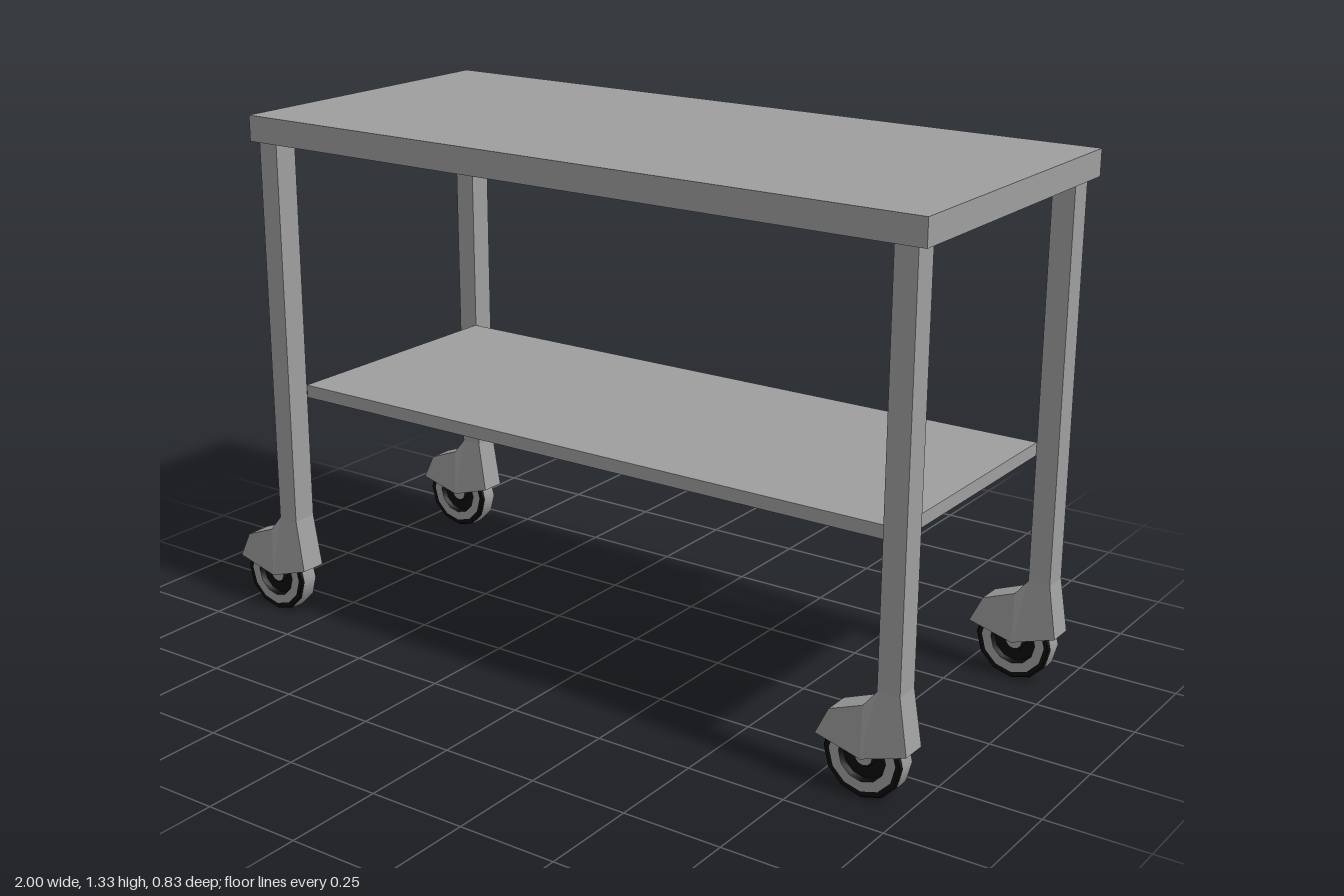
import * as THREE from 'three';
import { toCreasedNormals } from 'three/addons/utils/BufferGeometryUtils.js';

const solid = new THREE.MeshStandardMaterial({ color: 0x9f9f9f });
const sheet = new THREE.MeshStandardMaterial({ color: 0x9f9f9f, flatShading: true, side: THREE.DoubleSide });
const black = new THREE.MeshStandardMaterial({ color: 0x0c0c0c });

function add(parent, name, geometry, material, x = 0, y = 0, z = 0) {
  const mesh = new THREE.Mesh(geometry, material);
  mesh.name = name;
  mesh.position.set(x, y, z);
  parent.add(mesh);
  return mesh;
}

// Box given by its limits
function box(parent, name, [x0, x1], [y0, y1], [z0, z1]) {
  return add(parent, name, new THREE.BoxGeometry(x1 - x0, y1 - y0, z1 - z0), solid,
    (x0 + x1) / 2, (y0 + y1) / 2, (z0 + z1) / 2);
}

// Folded sheet fork, open underneath: [x, y, half width] measured from the leg axis
function forkGeometry() {
  const outline = [
    [-0.178, 0.13, 0.034], [-0.145, 0.197, 0.034], [-0.06, 0.23, 0.035],
    [-0.028, 0.27, 0.032], [0.028, 0.27, 0.032], [0.05, 0.135, 0.034],
  ];
  const low = [-0.062, 0.1, 0.036]; // lowest point of each cheek
  const at = ([x, y, w], side) => [x, y, w * side];
  const v = [];
  for (let i = 0; i < outline.length - 1; i++) {
    const a = outline[i], b = outline[i + 1];
    v.push(...at(a, 1), ...at(b, 1), ...at(b, -1), ...at(a, 1), ...at(b, -1), ...at(a, -1));
    v.push(...at(low, 1), ...at(b, 1), ...at(a, 1));
    v.push(...at(low, -1), ...at(a, -1), ...at(b, -1));
  }
  const g = new THREE.BufferGeometry();
  g.setAttribute('position', new THREE.Float32BufferAttribute(v, 3));
  g.computeVertexNormals();
  return g;
}

// Wheel bands as [radius, offset along the axle], from the axle outwards
const hubCap = [[0, 0.02], [0.022, 0.02]];
const recess = [[0.022, 0.02], [0.027, 0.012], [0.055, 0.012], [0.059, 0.026]];
const rim = [[0.059, 0.026], [0.083, 0.026]];
const shoulder = [[0.083, 0.026], [0.095, 0.026], [0.099, 0.021]];
const tread = [[0.099, 0.021], [0.1, 0.01], [0.1, -0.01], [0.099, -0.021]];

// Ring turned about the z axis; side -1 gives the mirrored ring
function ringGeometry(band, side) {
  const points = band.map(([r, h]) => new THREE.Vector2(r, h)).reverse();
  const g = new THREE.LatheGeometry(points.reverse(), 12);
  // Lathe profiles face outwards when they run upwards along the axis
  g.index.array.reverse();
  g.rotateX(Math.PI / 2);
  if (side < 0) g.rotateX(Math.PI);
  return toCreasedNormals(g, 0.75);
}

function wheel() {
  const group = new THREE.Group();
  group.name = 'casterWheel';
  for (const side of [1, -1]) {
    add(group, 'hubCap', ringGeometry(hubCap, side), solid);
    add(group, 'hubRecess', ringGeometry(recess, side), black);
    add(group, 'rim', ringGeometry(rim, side), solid);
    add(group, 'tyreShoulder', ringGeometry(shoulder, side), black);
  }
  add(group, 'tread', ringGeometry(tread, 1), solid);
  return group;
}

export function createModel() {
  const cart = new THREE.Group();
  cart.name = 'cart';

  box(cart, 'tableTop', [-0.87, 1.0], [1.26, 1.325], [-0.415, 0.415]);

  // Lower shelf: a tray turned upside down, so its bottom face is left out
  const tray = new THREE.BoxGeometry(1.715, 0.033, 0.676).toNonIndexed();
  const p = Array.from(tray.attributes.position.array);
  p.splice(3 * 18, 18); // fourth face of the box is the bottom
  const shelf = new THREE.BufferGeometry();
  shelf.setAttribute('position', new THREE.Float32BufferAttribute(p, 3));
  shelf.computeVertexNormals();
  add(cart, 'lowerShelf', shelf, sheet, 0.0625, 0.608, 0);

  // Four legs, every caster trailing towards -x
  const fork = forkGeometry();
  for (const x of [-0.8225, 0.9475]) {
    for (const z of [-0.371, 0.371]) {
      const leg = new THREE.Group();
      leg.name = 'legAssembly';
      leg.position.set(x, 0, z);
      box(leg, 'leg', [-0.028, 0.028], [0.265, 1.262], [-0.032, 0.032]);
      add(leg, 'casterFork', fork, sheet);
      const caster = wheel();
      caster.position.set(-0.0625, 0.1, 0);
      leg.add(caster);
      cart.add(leg);
    }
  }
  return cart;
}
